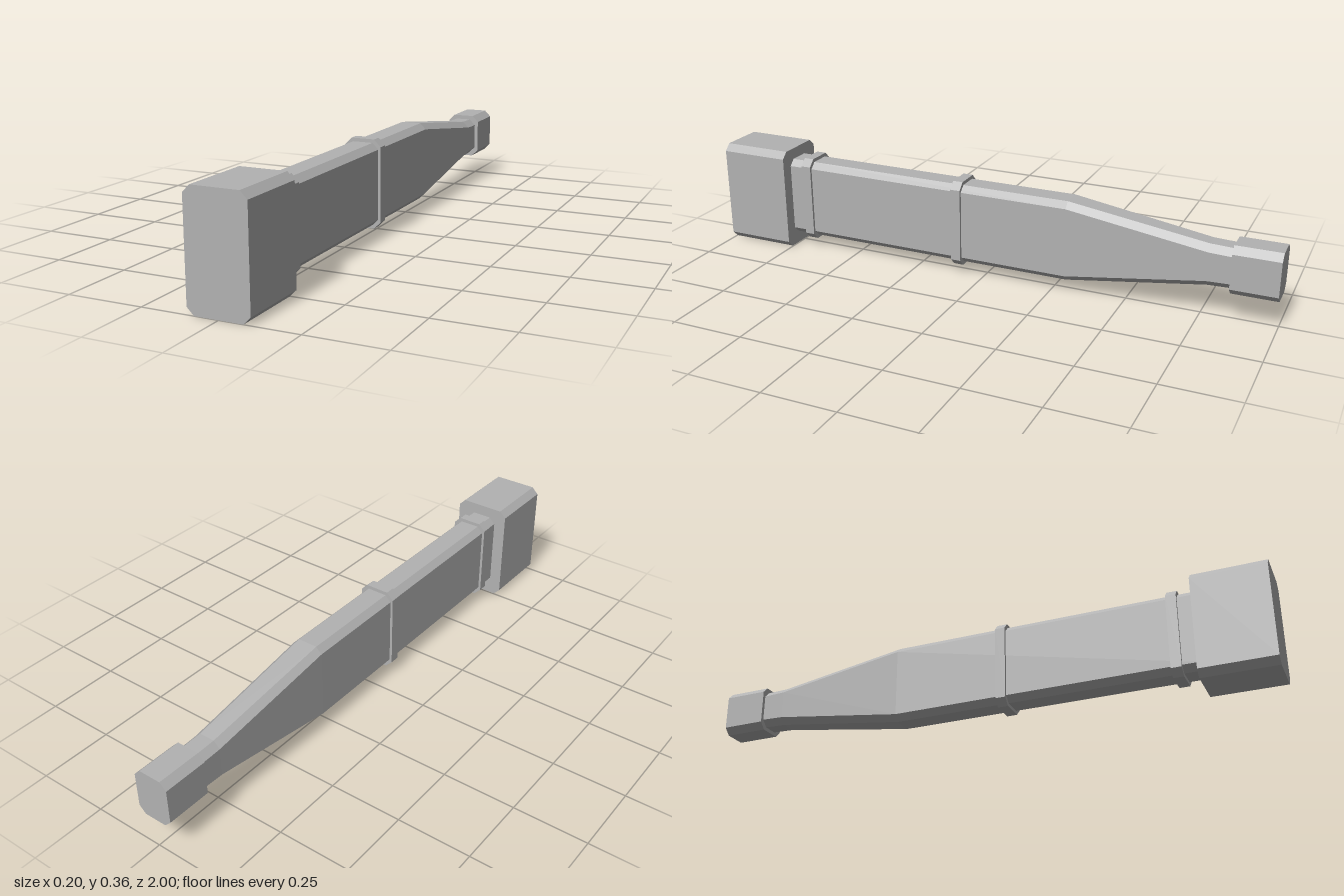
import * as THREE from 'three';

// Corners of a chamfered rectangle, anticlockwise as seen from the front
function section({ z, w, y0, y1, c }) {
  return [
    [w, y0 + c], [w, y1 - c], [w - c, y1], [c - w, y1],
    [-w, y1 - c], [-w, y0 + c], [c - w, y0], [w - c, y0],
  ].map(([x, y]) => [x, y, z]);
}

// Skin a row of sections from front to back and close both ends
function loft(rows) {
  const rings = rows.map(section);
  const n = rings[0].length;
  const index = [];
  for (let i = 0; i < rings.length - 1; i++) {
    for (let j = 0; j < n; j++) {
      const k = (j + 1) % n;
      const a = i * n + j, b = i * n + k;
      index.push(a, a + n, b, b, a + n, b + n);
    }
  }
  const last = (rings.length - 1) * n;
  for (let j = 1; j < n - 1; j++) {
    index.push(0, j, j + 1);
    index.push(last, last + j + 1, last + j);
  }
  const geometry = new THREE.BufferGeometry();
  geometry.setAttribute('position', new THREE.Float32BufferAttribute(rings.flat(2), 3));
  geometry.setIndex(index);
  const flat = geometry.toNonIndexed();
  flat.computeVertexNormals();
  return flat;
}

export function createModel() {
  const model = new THREE.Group();
  model.name = 'chamferedHandle';
  const grey = new THREE.MeshStandardMaterial({ color: 0xb2b2b2 });
  grey.name = 'plainGrey';

  function add(name, rows) {
    const mesh = new THREE.Mesh(loft(rows), grey);
    mesh.name = name;
    model.add(mesh);
  }
  const block = (name, front, back, size) =>
    add(name, [{ z: front, ...size }, { z: back, ...size }]);

  // Large block at the front
  block('frontBlock', 1, 0.753, { w: 0.1, y0: 0, y1: 0.363, c: 0.023 });

  // Deep shaft that tapers to a slim neck
  const deep = { w: 0.056, y0: 0.044, y1: 0.324, c: 0.021 };
  const slim = { w: 0.049, y0: 0.112, y1: 0.254, c: 0.022 };
  add('shaft', [
    { z: 0.753, ...deep },
    { z: -0.3, ...deep },
    { z: -0.77, ...slim },
    { z: -0.85, ...slim, y0: 0.115, y1: 0.251 },
  ]);

  // Raised bands round the shaft
  const band = { w: 0.065, y0: 0.032, y1: 0.336, c: 0.024 };
  block('frontBand', 0.7, 0.665, band);
  block('middleBand', 0.11, 0.075, band);

  // Small block at the back
  block('endBlock', -0.847, -1, { w: 0.062, y0: 0.102, y1: 0.266, c: 0.023 });

  return model;
}
